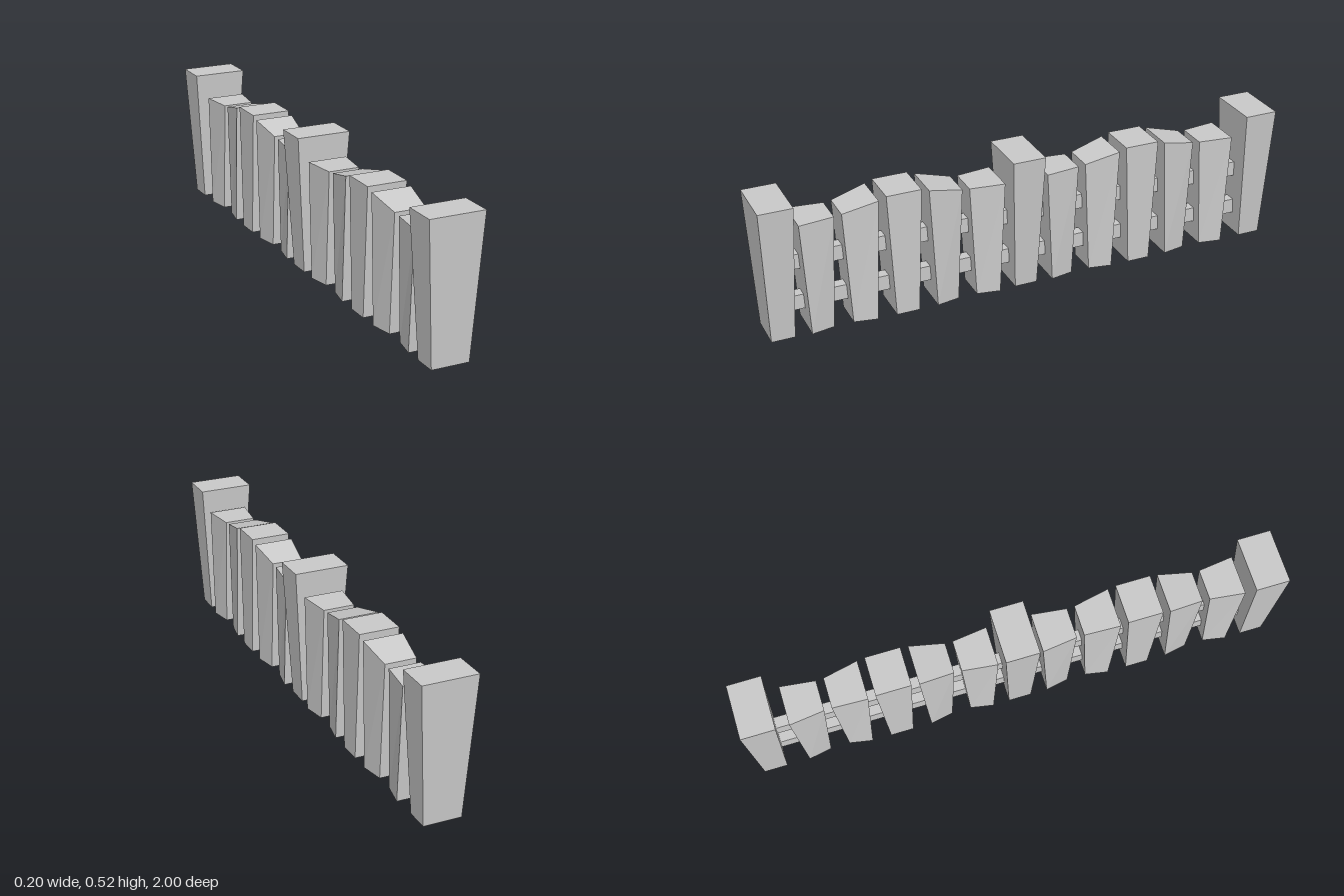
import * as THREE from 'three';

const material = new THREE.MeshStandardMaterial({ color: 0xcccccc, flatShading: true });

// Box standing on y = 0 whose corners are placed by a rule:
// place(sx, top, sz) returns [x, y, z] for each corner (sx, sz = -1 or 1).
function block(name, place) {
  const geometry = new THREE.BoxGeometry(2, 2, 2);
  const p = geometry.attributes.position;
  for (let i = 0; i < p.count; i++) {
    p.setXYZ(i, ...place(p.getX(i), p.getY(i) > 0, p.getZ(i)));
  }
  geometry.computeVertexNormals();
  const mesh = new THREE.Mesh(geometry, material);
  mesh.name = name;
  return mesh;
}

// Heavy post, flaring towards the top in both directions
function post(z) {
  const mesh = block('post', (sx, top, sz) => [
    sx * (top ? 0.102 : 0.07), top ? 0.519 : 0, sz * (top ? 0.0625 : 0.043),
  ]);
  mesh.position.z = z;
  return mesh;
}

// Picket flaring along the fence; each end has its own thickness and height
function picket(z, back, front) {
  const mesh = block('picket', (sx, top, sz) => {
    const end = sz > 0 ? front : back;
    return [sx * end.half, top ? end.height : 0, sz * (top ? 0.065 : 0.043)];
  });
  mesh.position.set(0.003, 0, z);
  return mesh;
}

// Five pickets forming an arch between two posts
function panel(centre) {
  const group = new THREE.Group();
  group.name = 'picketPanel';
  const wide = 0.074, narrow = 0.058;
  const step = 0.1575;
  group.add(picket(centre, { half: wide, height: 0.479 }, { half: wide, height: 0.479 }));
  for (const side of [-1, 1]) {
    // [inner end, outer end] of the sloped picket and of the low flat picket
    const pairs = [
      [{ half: wide, height: 0.468 }, { half: narrow, height: 0.437 }],
      [{ half: narrow, height: 0.434 }, { half: wide, height: 0.434 }],
    ];
    pairs.forEach(([inner, outer], i) => {
      const z = centre + side * step * (i + 1);
      group.add(side > 0 ? picket(z, inner, outer) : picket(z, outer, inner));
    });
  }
  return group;
}

export function createModel() {
  const fence = new THREE.Group();
  fence.name = 'fence';

  for (const z of [-0.9375, 0.012, 0.9375]) fence.add(post(z));
  for (const z of [-0.45, 0.476]) fence.add(panel(z));

  // Two rails running through all posts and pickets
  for (const y of [0.106, 0.268]) {
    const rail = new THREE.Mesh(new THREE.BoxGeometry(0.042, 0.057, 1.8), material);
    rail.name = 'rail';
    rail.position.y = y;
    fence.add(rail);
  }
  return fence;
}
